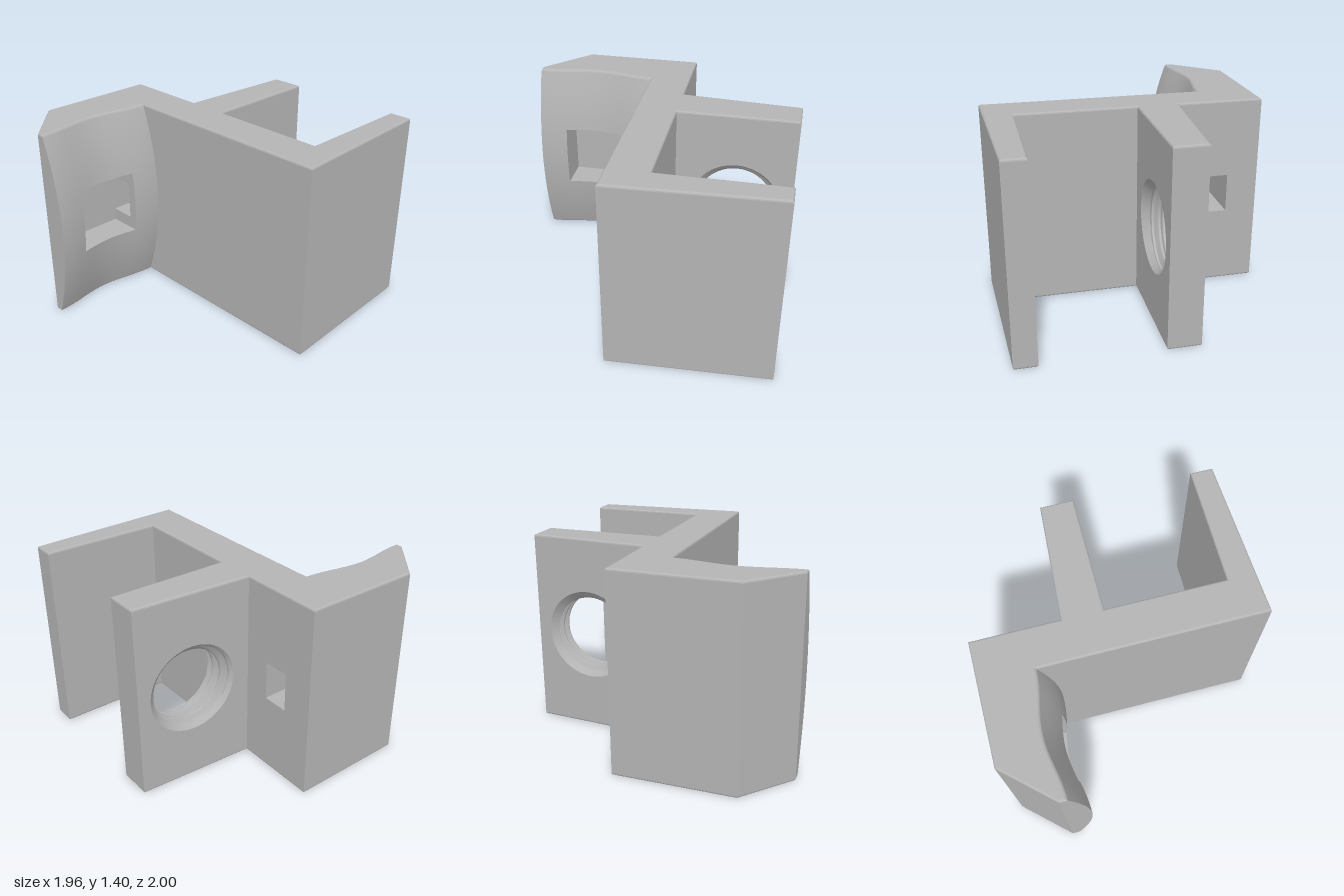
import * as THREE from 'three';
import { toCreasedNormals } from 'three/addons/utils/BufferGeometryUtils.js';

const H = 1.4, R = 0.015;                       // height, edge rounding
const POCKET = { z: [0.34, 0.8], y: [0.47, 0.94], x: -0.755 };
const CHANNEL = { x: [-0.755, -0.565], y: [0.56, 0.84] };
const BORE = { z: -0.59, y: 0.7, r: 0.32, band: [0.3, 1.1] };
const windows = { pocket: POCKET.y, channel: CHANNEL.y, bore: BORE.band };
const within = (v, [a, b]) => v > a && v < b;

// Saddle face: bulges along the height, hollow along the depth
const saddleX = (y, z) => -0.47 - 0.13 * ((y - 0.7) / 0.7) ** 2
  - 0.0275 * (1 - Math.cos(2 * Math.PI * (z - 0.14) / 0.86));

// Drilled arm: x across its thickness, u = 0 inner flat face, u = 1 tapered face
const armX = (u, z) => THREE.MathUtils.lerp(-0.08, -0.315 - 0.055 * (z + 1) / 0.85, u);

const span = (a, b, n) => Array.from({ length: n }, (_, i) => a + (b - a) * i / n);
const saddleZ = [...span(1, 0.8, 5), ...span(0.8, 0.34, 10), ...span(0.34, 0.14, 5)];
const bevel = [90, 60, 30].map(a => R - R * Math.sin(a * Math.PI / 180));
const levels = [...bevel, R, 0.1, 0.2, 0.3, 0.385, 0.47, 0.56, 0.63, 0.7, 0.77, 0.84, 0.94,
  1.02, 1.1, 1.2, 1.3, H - R, ...bevel.map(y => H - y).reverse()];

// Outline [x, z, tag of the wall that starts here], inset near the rounded edges
function outline(y) {
  const p = [
    [-0.98, -0.15], [-0.98, 0.7], [-0.65, 1],
    ...saddleZ.map(z => [saddleX(y, z), z, z <= 0.8001 && z > 0.3401 ? 'pocket' : '']),
    [saddleX(y, 0.14), 0.14], [0.975, 0.14], [0.92, -1], [0.76, -1], [0.76, -0.15],
    [-0.08, -0.15, 'bore'], [-0.08, -1], [-0.315, -1, 'bore'], [-0.37, -0.15],
    [CHANNEL.x[1], -0.15, 'channel'], [CHANNEL.x[0], -0.15],
  ];
  const d = Math.max(0, R - Math.min(y, H - y));
  const inset = R - Math.sqrt(R * R - d * d);
  if (inset < 1e-6) return p;
  const normal = (a, b) => {
    const l = Math.hypot(b[0] - a[0], b[1] - a[1]);
    return [-(b[1] - a[1]) / l, (b[0] - a[0]) / l];
  };
  return p.map((q, i) => {
    const m = normal(p[(i + p.length - 1) % p.length], q);
    const n = normal(q, p[(i + 1) % p.length]);
    const k = inset / (1 + m[0] * n[0] + m[1] * n[1]);
    return [q[0] - k * (m[0] + n[0]), q[1] - k * (m[1] + n[1]), q[2]];
  });
}

const quad = (out, a, b, c, d) => out.push(...a, ...b, ...c, ...a, ...c, ...d);

function finish(positions, crease) {
  const g = new THREE.BufferGeometry();
  g.setAttribute('position', new THREE.Float32BufferAttribute(positions, 3));
  return toCreasedNormals(g, crease);
}

// Outer walls with openings, top and bottom caps, drilled arm faces
function bodyGeometry() {
  const out = [];
  for (let j = 0; j < levels.length - 1; j++) {
    const y0 = levels[j], y1 = levels[j + 1], lo = outline(y0), hi = outline(y1);
    lo.forEach((a, i) => {
      if (a[2] && within((y0 + y1) / 2, windows[a[2]])) return;
      const k = (i + 1) % lo.length;
      quad(out, [a[0], y0, a[1]], [lo[k][0], y0, lo[k][1]],
        [hi[k][0], y1, hi[k][1]], [hi[i][0], y1, hi[i][1]]);
    });
  }
  for (const s of [1, -1]) {
    const shape = new THREE.Shape(outline(0).map(p => new THREE.Vector2(p[0], s * p[1])));
    const cap = new THREE.ShapeGeometry(shape).rotateX(s * Math.PI / 2);
    if (s < 0) cap.translate(0, H, 0);
    for (const v of cap.toNonIndexed().attributes.position.array) out.push(v);
  }
  const plate = new THREE.Shape();
  const [b0, b1] = BORE.band;
  plate.moveTo(-1, b0).lineTo(-0.15, b0).lineTo(-0.15, b1).lineTo(-1, b1);
  plate.holes.push(new THREE.Path().absarc(BORE.z, BORE.y, BORE.r, 0, Math.PI * 2, true));
  const face = new THREE.ShapeGeometry(plate, 64).toNonIndexed().attributes.position;
  for (const u of [0, 1]) {
    for (let i = 0; i < face.count; i += 3) {
      for (const k of u ? [0, 1, 2] : [0, 2, 1]) {
        const z = face.getX(i + k);
        out.push(armX(u, z), face.getY(i + k), z);
      }
    }
  }
  return finish(out, 0.2);
}

// Square pocket sunk into the saddle face
function pocketGeometry() {
  const out = [], [z0, z1] = POCKET.z, [y0, y1] = POCKET.y, x = POCKET.x;
  quad(out, [x, y0, z1], [x, y0, z0], [x, y1, z0], [x, y1, z1]);
  const zs = [...span(z0, z1, 10), z1];
  for (let i = 0; i < 10; i++) {
    const a = zs[i], b = zs[i + 1];
    quad(out, [x, y0, a], [x, y0, b], [saddleX(y0, b), y0, b], [saddleX(y0, a), y0, a]);
    quad(out, [x, y1, b], [x, y1, a], [saddleX(y1, a), y1, a], [saddleX(y1, b), y1, b]);
  }
  const ys = levels.filter(y => y >= y0 && y <= y1);
  for (let i = 0; i < ys.length - 1; i++) {
    const a = ys[i], b = ys[i + 1];
    const start = within((a + b) / 2, CHANNEL.y) ? CHANNEL.x[1] : x;
    quad(out, [start, a, z0], [saddleX(a, z0), a, z0], [saddleX(b, z0), b, z0], [start, b, z0]);
    quad(out, [saddleX(a, z1), a, z1], [x, a, z1], [x, b, z1], [saddleX(b, z1), b, z1]);
  }
  return finish(out, 0.2);
}

// Square channel from the back face into the pocket
function channelGeometry() {
  const out = [], [x0, x1] = CHANNEL.x, [y0, y1] = CHANNEL.y;
  const ring = [[x0, y0], [x1, y0], [x1, y1], [x0, y1]];
  ring.forEach((a, i) => {
    const b = ring[(i + 1) % 4];
    quad(out, [...b, -0.15], [...a, -0.15], [...a, 0.34], [...b, 0.34]);
  });
  return finish(out, 0.2);
}

// Through hole with a helical thread and chamfered mouths
function threadGeometry() {
  const out = [], N = 64, M = 60, T = 0.26, pitch = 0.075;
  const point = (i, j) => {
    const u = j / M, t = (i % N) / N;
    const phase = u * T / pitch - t + 2;
    const wave = Math.abs(2 * (phase - Math.floor(phase)) - 1);
    const thread = 0.262 + 0.04 * THREE.MathUtils.clamp(wave * 1.6 - 0.3, 0, 1);
    const r = Math.max(thread, BORE.r - Math.min(u, 1 - u) * T);
    const z = BORE.z + r * Math.cos(t * Math.PI * 2);
    return [armX(u, z), BORE.y + r * Math.sin(t * Math.PI * 2), z];
  };
  for (let i = 0; i < N; i++) {
    for (let j = 0; j < M; j++) {
      quad(out, point(i, j), point(i, j + 1), point(i + 1, j + 1), point(i + 1, j));
    }
  }
  return finish(out, 0.5);
}

export function createModel() {
  const group = new THREE.Group();
  group.name = 'clampBracket';
  const grey = new THREE.MeshStandardMaterial({ color: 0xb4b4b4, side: THREE.DoubleSide });
  grey.name = 'plain grey';
  const parts = {
    bracketBody: bodyGeometry(),
    squarePocket: pocketGeometry(),
    squareChannel: channelGeometry(),
    threadedHole: threadGeometry(),
  };
  for (const [name, geometry] of Object.entries(parts)) {
    const mesh = new THREE.Mesh(geometry, grey);
    mesh.name = name;
    group.add(mesh);
  }
  return group;
}
